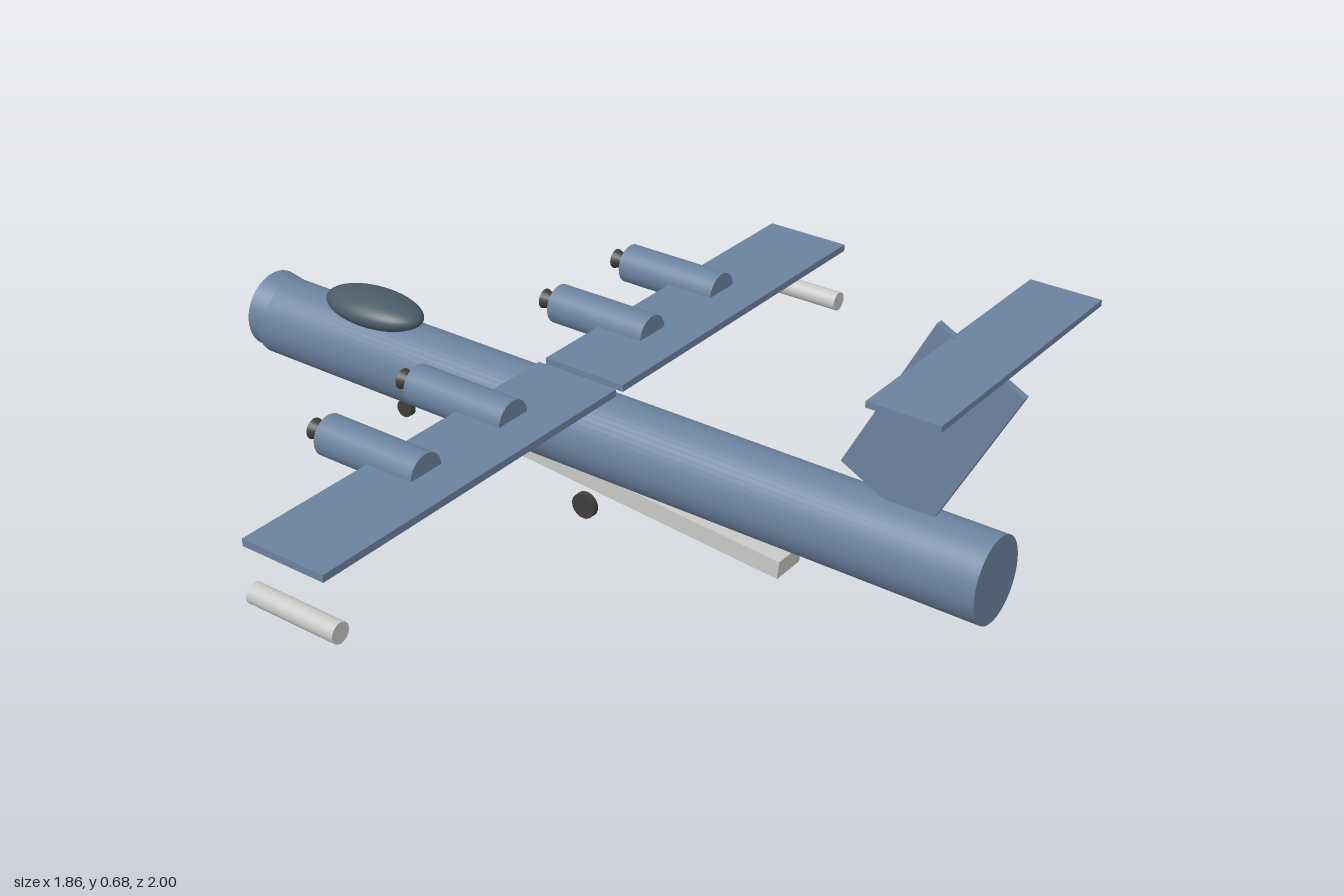
import * as THREE from 'three';

const mat = (name, color) => {
  const m = new THREE.MeshStandardMaterial({ color });
  m.name = name;
  return m;
};

export function createModel() {
  const blue = mat('hull blue', 0x6b829e);
  const glass = mat('canopy slate', 0x4a5c68);
  const dark = mat('rubber dark', 0x403e3c);
  const grey = mat('light grey', 0xc8c8c6);

  const model = new THREE.Group();
  model.name = 'floatPlane';

  const add = (name, geometry, material, x, y, z) => {
    const mesh = new THREE.Mesh(geometry, material);
    mesh.name = name;
    mesh.position.set(x, y, z);
    model.add(mesh);
    return mesh;
  };
  // Cylinder lying along z
  const tube = (rBack, rFront, length, sides = 32) =>
    new THREE.CylinderGeometry(rBack, rFront, length, sides).rotateX(Math.PI / 2);
  const wheel = (name, r, x, y, z) =>
    add(name, new THREE.CylinderGeometry(r, r, 0.016, 24).rotateZ(Math.PI / 2), dark, x, y, z);

  // Fuselage, slightly taller than wide, with a flared nose ring
  add('fuselage', tube(1, 1, 1.95, 48).scale(0.09, 0.098, 1), blue, 0, 0.168, 0);
  add('noseRing', tube(0.085, 0.094, 0.06, 48), blue, 0, 0.179, -0.97);

  // Canopy
  add('canopy', new THREE.SphereGeometry(1, 40, 24).scale(0.073, 0.04, 0.14), glass, 0, 0.278, -0.668);

  for (const side of [-1, 1]) {
    const label = side > 0 ? 'left' : 'right';
    // Wings, split by a narrow gap on the centreline
    add(label + 'Wing', new THREE.BoxGeometry(0.916, 0.017, 0.213), blue, side * 0.47, 0.29, -0.058);
    // Engines with propeller hubs that widen forwards
    for (const x of [0.25, 0.528]) {
      add(label + 'Engine', tube(0.047, 0.047, 0.268), blue, side * x, 0.296, -0.179);
      add(label + 'PropellerHub', tube(0.01, 0.024, 0.044, 20), dark, side * x, 0.296, -0.334);
    }
    // Wingtip floats and main wheels
    add(label + 'Float', tube(0.0235, 0.0235, 0.23, 24), grey, side * 0.9, 0.156, -0.058);
    wheel(label + 'MainWheel', 0.03, side * 0.1, 0.042, 0.03);
  }
  wheel('noseWheel', 0.022, 0, 0.038, -0.582);

  // Swept fin with a tailplane on top
  const fin = add('fin', new THREE.BoxGeometry(0.016, 0.417, 0.22), blue, 0, 0.452, 0.807);
  fin.rotation.x = 0.48;
  add('tailplane', new THREE.BoxGeometry(0.636, 0.013, 0.156), blue, 0, 0.658, 0.914);

  // Belly step, sloping down towards the tail
  const step = add('bellyStep', new THREE.BoxGeometry(0.086, 0.043, 1.0), grey, 0, 0.067, 0);
  step.rotation.x = 0.084;

  return model;
}
